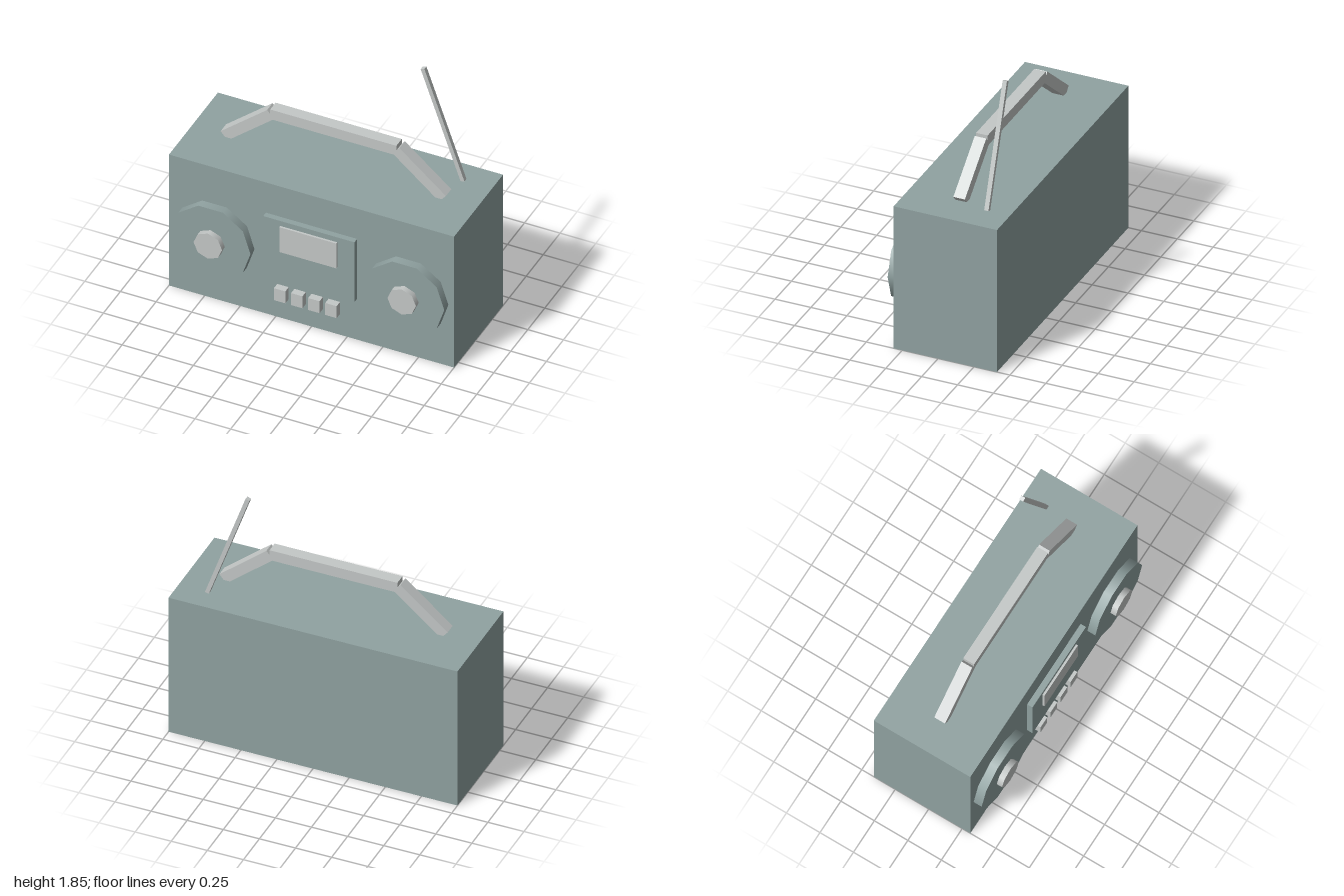
import * as THREE from 'three';

const bodyMat = new THREE.MeshStandardMaterial({ color: 0x90a2a1 });
bodyMat.name = 'greyGreen';
const trimMat = new THREE.MeshStandardMaterial({ color: 0xc4c8c7 });
trimMat.name = 'lightGrey';

// Box given by its centre and size
function box(name, mat, [x, y, z], size, tilt = 0) {
  const mesh = new THREE.Mesh(new THREE.BoxGeometry(...size), mat);
  mesh.name = name;
  mesh.position.set(x, y, z);
  mesh.rotation.z = tilt;
  return mesh;
}

// Disc facing +z, with its back at z, and a corner on the x axis
function disc(name, mat, [x, y, z], radius, depth, sides) {
  const geo = new THREE.CylinderGeometry(radius, radius, depth, sides, 1, false, Math.PI / 2);
  geo.rotateX(Math.PI / 2);
  const mesh = new THREE.Mesh(geo, mat);
  mesh.name = name;
  mesh.position.set(x, y, z + depth / 2);
  return mesh;
}

export function createModel() {
  const radio = new THREE.Group();
  radio.name = 'portableRadio';
  const front = 0.31;

  radio.add(box('body', bodyMat, [0, 0.52, -0.05], [2, 1.04, 0.72]));

  // Speakers with raised centres
  for (const side of [-1, 1]) {
    const label = side > 0 ? 'left' : 'right';
    radio.add(disc(label + 'Speaker', bodyMat, [side * 0.68, 0.485, front], 0.28, 0.06, 10));
    radio.add(disc(label + 'SpeakerCentre', trimMat, [side * 0.68, 0.485, front + 0.06], 0.1, 0.04, 8));
  }

  // Cassette panel and its window
  radio.add(box('cassettePanel', bodyMat, [0, 0.563, front + 0.02], [0.64, 0.475, 0.04]));
  radio.add(box('cassetteWindow', trimMat, [0, 0.663, front + 0.046], [0.4, 0.197, 0.018]));

  // Row of buttons
  for (let i = 0; i < 4; i++) {
    radio.add(box('button' + (i + 1), trimMat, [-0.2 + i * 0.12, 0.213, front + 0.025], [0.08, 0.095, 0.05]));
  }

  // Carrying handle: grip and two sloping arms
  const handle = new THREE.Group();
  handle.name = 'handle';
  handle.add(box('grip', trimMat, [0, 1.323, -0.05], [0.885, 0.076, 0.08]));
  for (const side of [-1, 1]) {
    handle.add(box(side > 0 ? 'leftArm' : 'rightArm', trimMat,
      [side * 0.603, 1.184, -0.05], [0.426, 0.075, 0.08], -side * 0.7));
  }
  radio.add(handle);

  // Leaning aerial
  radio.add(box('aerial', trimMat, [0.659, 1.441, -0.25], [0.028, 0.85, 0.03], 0.337));

  return radio;
}
